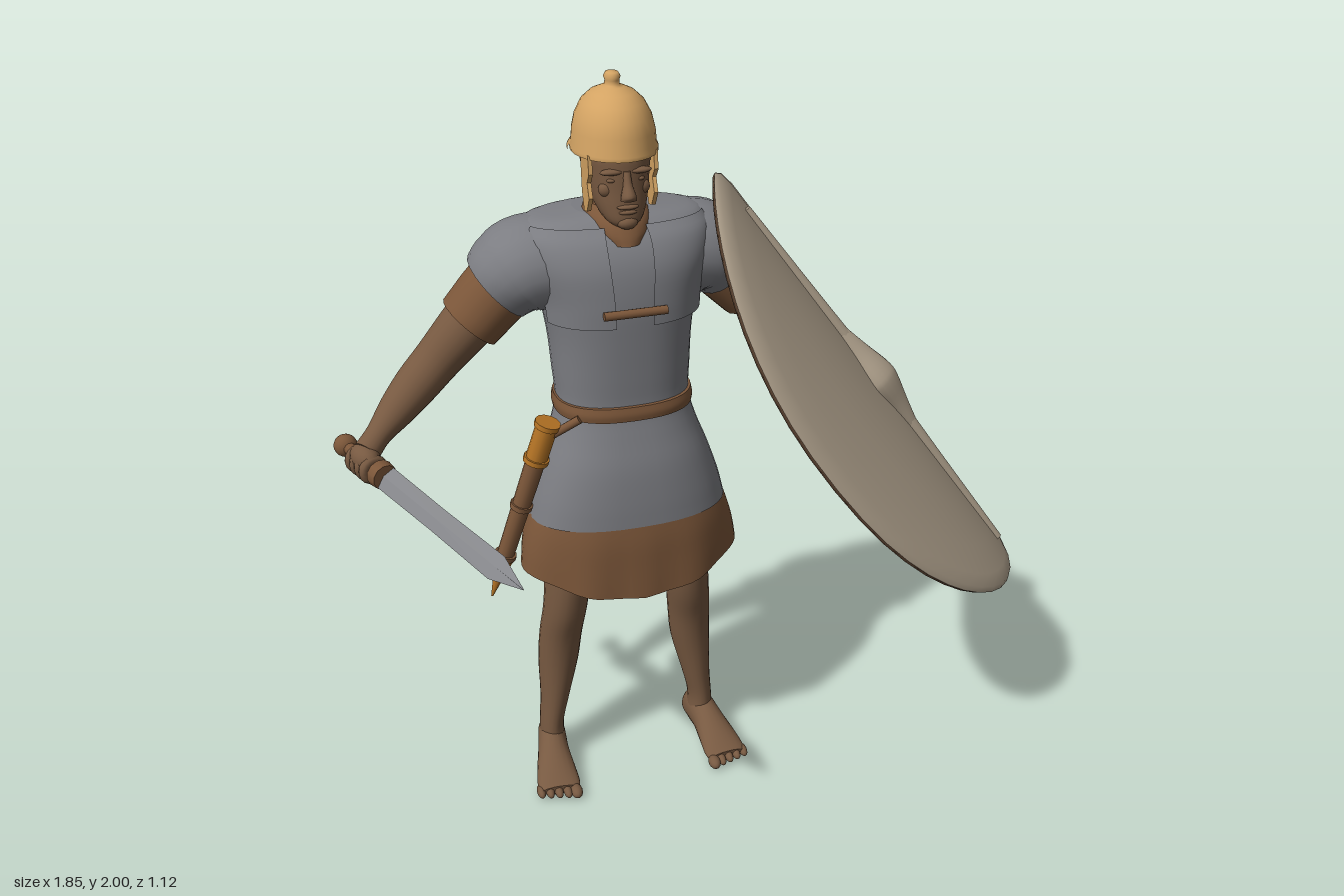
import * as THREE from 'three';

const V = (x, y, z) => new THREE.Vector3(x, y, z);
const material = (name, color, side = THREE.FrontSide) => {
  const m = new THREE.MeshStandardMaterial({ color, side });
  m.name = name;
  return m;
};

// Surface through rows of points; each row runs counter-clockwise round the row direction
function skin(rows, closed = true) {
  const n = rows[0].length, pos = [], idx = [];
  rows.forEach(r => r.forEach(p => pos.push(p.x, p.y, p.z)));
  for (let j = 0; j < rows.length - 1; j++) {
    for (let i = 0; i < (closed ? n : n - 1); i++) {
      const k = (i + 1) % n, a = j * n + i, b = j * n + k;
      idx.push(a, b, b + n, a, b + n, a + n);
    }
  }
  const g = new THREE.BufferGeometry();
  g.setAttribute('position', new THREE.Float32BufferAttribute(pos, 3));
  g.setIndex(idx);
  g.computeVertexNormals();
  return g;
}

// Smooth loft through rings [x, y, z, rx, rz]
function loft(rings, { n = 24, p = 2, flat = true, ref = V(0, 0, 1), cap = true, from = 0, to = Math.PI * 2, fine = 4 } = {}) {
  const centre = new THREE.CatmullRomCurve3(rings.map(r => V(r[0], r[1], r[2])), false, 'catmullrom');
  const radius = new THREE.CatmullRomCurve3(rings.map(r => V(r[3], r[4] ?? r[3], 0)), false, 'catmullrom');
  const closed = to - from > 6.28, count = (rings.length - 1) * fine, rows = [];
  const pw = s => Math.sign(s) * Math.abs(s) ** (2 / p);
  for (let j = 0; j <= count; j++) {
    const c = centre.getPoint(j / count), r = radius.getPoint(j / count);
    const T = flat ? V(0, 1, 0) : centre.getTangent(j / count);
    const u = T.clone().cross(ref).normalize(), v = u.clone().cross(T);
    const row = [];
    for (let i = 0; i < (closed ? n : n + 1); i++) {
      const t = from + (to - from) * i / n;
      row.push(c.clone().addScaledVector(u, r.x * pw(Math.sin(t))).addScaledVector(v, r.y * pw(Math.cos(t))));
    }
    rows.push(row);
    if (cap && closed && (j === 0 || j === count)) {
      const tip = row.map(() => c.clone());
      if (j === 0) rows.unshift(tip, row); else rows.push(row, tip);
    }
  }
  return skin(rows, closed);
}

export function createModel() {
  const model = new THREE.Group();
  model.name = 'shieldedSoldier';
  const skinTone = material('skin', 0x775941);
  const iron = material('ironGrey', 0x7c7d82, THREE.DoubleSide);
  const steel = material('bladeSteel', 0x85868a);
  const leather = material('leather', 0x7b5639, THREE.DoubleSide);
  const bronze = material('helmetBronze', 0xd3a363, THREE.DoubleSide);
  const hide = material('shieldFace', 0xaa9c88);
  const wood = material('shieldBack', 0x6c503b);
  const amber = material('scabbardFittings', 0xb57425);

  const add = (name, geo, mat, parent = model) => {
    const m = new THREE.Mesh(geo, mat);
    m.name = name;
    parent.add(m);
    return m;
  };
  const ball = (name, mat, x, y, z, rx, ry, rz, parent = model) => {
    const m = add(name, new THREE.SphereGeometry(1, 16, 12), mat, parent);
    m.position.set(x, y, z);
    m.scale.set(rx, ry, rz);
  };
  const bar = (name, mat, a, b, r0, r1 = r0, n = 12) => {
    const d = b.clone().sub(a);
    const m = add(name, new THREE.CylinderGeometry(r1, r0, d.length(), n), mat);
    m.position.copy(a).addScaledVector(d, 0.5);
    m.quaternion.setFromUnitVectors(V(0, 1, 0), d.normalize());
  };
  const X = -0.19; // body centre line
  const col = list => list.map(([y, z, rx, rz]) => [X, y, z, rx, rz]);
  const mirror = list => list.map(([x, ...r]) => [2 * X - x, ...r]);

  // Tunic of mail
  add('mailTunic', loft(col([
    [0.86, -0.13, 0.267, 0.172], [0.93, -0.13, 0.25, 0.168], [1.02, -0.13, 0.22, 0.157], [1.1, -0.135, 0.19, 0.142],
    [1.17, -0.14, 0.174, 0.132], [1.26, -0.145, 0.178, 0.14], [1.36, -0.15, 0.185, 0.15], [1.46, -0.157, 0.203, 0.16],
    [1.55, -0.168, 0.23, 0.16], [1.61, -0.178, 0.237, 0.142], [1.65, -0.183, 0.215, 0.105], [1.665, -0.185, 0.1, 0.08]]),
    { n: 40, p: 2.4 }), iron);
  // Shoulder doubling: two chest flaps joined by a clasp
  const flap = col([[1.41, -0.152, 0.206, 0.168], [1.47, -0.156, 0.213, 0.171], [1.55, -0.165, 0.237, 0.171], [1.61, -0.175, 0.244, 0.153], [1.645, -0.18, 0.228, 0.12]]);
  add('leftChestFlap', loft(flap, { from: 0.17, to: 1.25, p: 2.4 }), iron);
  add('rightChestFlap', loft(flap, { from: -1.25, to: -0.17, p: 2.4 }), iron);
  bar('chestClasp', leather, V(X - 0.08, 1.45, 0.02), V(X + 0.08, 1.45, 0.02), 0.011);
  add('neckScarf', loft(col([[1.605, -0.12, 0.055, 0.1], [1.63, -0.13, 0.077, 0.1], [1.66, -0.15, 0.082, 0.1], [1.685, -0.17, 0.07, 0.08]])), leather);
  // Belt
  add('belt', loft(col([[1.15, -0.14, 0.181, 0.144], [1.168, -0.14, 0.183, 0.146], [1.188, -0.14, 0.179, 0.142]]), { n: 40, p: 2.4 }), leather);

  // Skirt with a dipping, rippled hem
  const skirt = loft(col([[0.66, -0.13, 0.295, 0.182], [0.74, -0.13, 0.288, 0.18], [0.82, -0.13, 0.274, 0.177], [0.9, -0.13, 0.253, 0.165]]),
    { n: 64, p: 2.3, cap: false });
  const sp = skirt.attributes.position;
  for (let i = 0; i < sp.count; i++) {
    const dx = sp.getX(i) - X, dz = sp.getZ(i) + 0.13, k = (0.9 - sp.getY(i)) / 0.24;
    const f = 1 + 0.025 * k * Math.cos(9 * Math.atan2(dx, dz));
    sp.setXYZ(i, X + dx * f, sp.getY(i) - 0.01 * k + k * 0.75 * dx * dx, -0.13 + dz * f);
  }
  skirt.computeVertexNormals();
  add('skirt', skirt, leather);

  // Legs and bare feet
  const leg = [[-0.415, 0.06, -0.188, 0.037, 0.05], [-0.415, 0.13, -0.188, 0.034, 0.05], [-0.402, 0.22, -0.186, 0.041, 0.054],
    [-0.387, 0.34, -0.186, 0.056, 0.064], [-0.378, 0.44, -0.172, 0.059, 0.068], [-0.367, 0.54, -0.146, 0.06, 0.075],
    [-0.355, 0.65, -0.138, 0.064, 0.088], [-0.325, 0.78, -0.135, 0.09, 0.1], [-0.3, 0.9, -0.135, 0.1, 0.11]];
  const foot = [[-0.412, 0.033, -0.252, 0.018, 0.02], [-0.412, 0.045, -0.238, 0.035, 0.04], [-0.416, 0.063, -0.195, 0.04, 0.06],
    [-0.425, 0.055, -0.14, 0.044, 0.05], [-0.433, 0.039, -0.075, 0.054, 0.035], [-0.438, 0.026, -0.02, 0.06, 0.022], [-0.44, 0.022, 0.005, 0.054, 0.016]];
  for (const side of ['right', 'left']) {
    const s = side === 'right' ? l => l : mirror, g = side === 'right' ? 1 : -1;
    add(side + 'Leg', loft(s(leg), { n: 20 }), skinTone);
    add(side + 'Foot', loft(s(foot), { flat: false, ref: V(0, 1, 0), n: 20 }), skinTone);
    for (let i = 0; i < 5; i++) {
      ball(side + 'Toe', skinTone, X - g * (0.206 + i * 0.024), 0.018, 0.018 - i * 0.007, i ? 0.012 : 0.017, i ? 0.014 : 0.017, 0.027);
    }
  }

  // Shoulders, sleeves and arms
  const cap = [[-0.24, 1.53, -0.175, 0.115, 0.125], [-0.33, 1.535, -0.185, 0.118, 0.135], [-0.41, 1.53, -0.192, 0.12, 0.138], [-0.45, 1.51, -0.198, 0.113, 0.13], [-0.487, 1.475, -0.205, 0.1, 0.11]];
  const sleeve = [[-0.45, 1.5, -0.2, 0.086, 0.09], [-0.49, 1.46, -0.207, 0.09, 0.094], [-0.56, 1.385, -0.212, 0.084, 0.09]];
  const upper = [[-0.5, 1.45, -0.21, 0.075], [-0.58, 1.365, -0.212, 0.068], [-0.65, 1.29, -0.215, 0.06]];
  const rightArm = [...upper, [-0.71, 1.235, -0.2, 0.056], [-0.77, 1.185, -0.17, 0.046], [-0.82, 1.145, -0.137, 0.033], [-0.855, 1.115, -0.11, 0.034]];
  const leftArm = [...mirror(upper), [0.315, 1.225, -0.19, 0.056], [0.365, 1.16, -0.15, 0.046], [0.4, 1.11, -0.127, 0.033], [0.428, 1.072, -0.108, 0.034]];
  const limb = { flat: false, n: 20 };
  add('rightShoulder', loft(cap, limb), iron);
  add('leftShoulder', loft(mirror(cap), limb), iron);
  add('rightSleeve', loft(sleeve, limb), leather);
  add('leftSleeve', loft(mirror(sleeve), limb), leather);
  add('rightArm', loft(rightArm, limb), skinTone);
  add('leftArm', loft(leftArm, limb), skinTone);

  // Fist: palm and four fingers curled round an axis
  function fist(name, at, axis) {
    const g = new THREE.Group();
    g.name = name;
    g.position.copy(at);
    g.quaternion.setFromUnitVectors(V(0, 0, 1), axis);
    ball('palm', skinTone, 0, 0.012, 0, 0.034, 0.036, 0.05, g);
    for (let i = 0; i < 4; i++) {
      add('finger', new THREE.TorusGeometry(0.026, 0.013, 8, 16), skinTone, g).position.set(0, -0.006, -0.036 + i * 0.024);
    }
    model.add(g);
  }

  // Short sword
  const pommel = V(-0.9, 1.095, -0.2), tip = V(-0.605, 1.062, 0.553), dir = tip.clone().sub(pommel).normalize();
  const along = d => pommel.clone().addScaledVector(dir, d);
  ball('pommel', leather, pommel.x, pommel.y, pommel.z, 0.03, 0.03, 0.027);
  bar('swordGrip', leather, pommel, along(0.2), 0.016);
  bar('swordGuard', leather, along(0.175), along(0.205), 0.036, 0.033);
  fist('rightHand', along(0.105), dir);
  const blade = add('blade', loft([[0, 0.2, 0, 0.031, 0.009], [0, 0.45, 0, 0.029, 0.009], [0, 0.7, 0, 0.031, 0.008], [0, 0.81, 0, 0.001, 0.001]], { n: 4, fine: 1 }).toNonIndexed(), steel);
  blade.geometry.computeVertexNormals();
  blade.position.copy(pommel);
  blade.quaternion.setFromUnitVectors(V(0, 1, 0), dir).multiply(new THREE.Quaternion().setFromAxisAngle(V(0, 1, 0), 1.1));

  // Scabbard on the right hip
  const s0 = V(-0.405, 1.15, -0.06), s1 = V(-0.567, 0.61, -0.145), on = t => s0.clone().lerp(s1, t);
  bar('scabbardBody', leather, on(0.05), on(0.78), 0.027, 0.023);
  bar('scabbardThroat', amber, on(0), on(0.2), 0.029, 0.029);
  for (const t of [0, 0.19]) bar('scabbardBand', amber, on(t), on(t + 0.025), 0.034);
  for (const t of [0.45, 0.74]) bar('scabbardBand', leather, on(t), on(t + 0.025), 0.03);
  bar('scabbardTip', amber, on(0.77), on(1), 0.026, 0.003);
  bar('scabbardStrap', leather, V(-0.33, 1.16, -0.03), on(0.1), 0.011);

  // Head
  add('neck', loft(col([[1.6, -0.185, 0.078, 0.078], [1.68, -0.185, 0.068, 0.072], [1.78, -0.182, 0.068, 0.07]])), skinTone);
  add('head', loft(col([[1.645, -0.07, 0.022, 0.03], [1.665, -0.082, 0.046, 0.056], [1.7, -0.11, 0.064, 0.084], [1.74, -0.135, 0.075, 0.106],
    [1.78, -0.142, 0.08, 0.112], [1.82, -0.146, 0.084, 0.113], [1.87, -0.148, 0.07, 0.1]]), { p: 2.2 }), skinTone);
  add('nose', loft(col([[1.722, -0.022, 0.02, 0.016], [1.735, -0.02, 0.018, 0.024], [1.76, -0.027, 0.011, 0.015], [1.79, -0.035, 0.009, 0.01]]), { n: 12 }), skinTone);
  ball('upperLip', skinTone, X, 1.703, -0.032, 0.027, 0.007, 0.013);
  ball('lowerLip', skinTone, X, 1.69, -0.033, 0.024, 0.007, 0.012);
  ball('chin', skinTone, X, 1.663, -0.04, 0.026, 0.018, 0.022);
  for (const s of [-1, 1]) {
    ball('brow', skinTone, X + s * 0.034, 1.788, -0.042, 0.03, 0.008, 0.014);
    ball('eye', skinTone, X + s * 0.034, 1.767, -0.046, 0.013, 0.006, 0.01);
    ball('cheekbone', skinTone, X + s * 0.042, 1.742, -0.062, 0.022, 0.02, 0.018);
  }

  // Helmet with knob, neck guard and cheek pieces
  const profile = [[1.03, 1.815], [1.04, 1.825], [1, 1.835], [0.98, 1.865], [0.9, 1.9], [0.74, 1.932], [0.52, 1.953], [0.27, 1.965],
    [0.18, 1.968], [0.17, 1.98], [0.2, 1.988], [0.15, 1.998], [0, 2]].map(([r, y]) => new THREE.Vector2(r, y));
  const bowl = add('helmetBowl', new THREE.LatheGeometry(profile, 32), bronze);
  bowl.position.set(X, 0, -0.148);
  bowl.scale.set(0.102, 1, 0.128);
  add('neckGuard', loft([[X, 1.806, -0.16, 0.106, 0.158], [X, 1.815, -0.158, 0.108, 0.158], [X, 1.84, -0.15, 0.1, 0.125]],
    { from: Math.PI * 0.55, to: Math.PI * 1.45, cap: false }), bronze);
  const cheek = new THREE.Shape([[0.065, 1.825], [0.06, 1.78], [0.08, 1.755], [0.065, 1.72], [0.09, 1.682], [0.118, 1.675], [0.135, 1.72], [0.14, 1.825]]
    .map(([z, y]) => new THREE.Vector2(z, y)));
  for (const s of [-1, 1]) {
    const c = add('cheekPiece', new THREE.ExtrudeGeometry(cheek, { depth: 0.01, bevelEnabled: false }), bronze);
    c.rotation.y = Math.PI / 2;
    c.position.x = X + s * 0.081 - 0.005;
  }

  // Oval shield, bent about its long axis: local x across, y down its length, z outward
  const shield = new THREE.Group();
  shield.name = 'shield';
  const L = V(0.572, -0.802, 0.172).normalize(), W = V(-0.31, -0.02, 0.95);
  W.addScaledVector(L, -W.dot(L)).normalize();
  const N = W.clone().cross(L), C = V(0.508, 1.13, -0.083);
  new THREE.Matrix4().makeBasis(W, L, N).decompose(V(), shield.quaternion, V());
  shield.position.copy(C);
  const ring = (r, drop) => Array.from({ length: 48 }, (_, i) => {
    const t = i / 48 * Math.PI * 2, q = s => Math.sign(s) * Math.abs(s) ** 0.9;
    const x = 0.437 * r * q(Math.cos(t)), y = 0.712 * r * q(Math.sin(t));
    return V(x, y, -0.77 * x * x - drop);
  });
  const steps = [0, 0.2, 0.4, 0.6, 0.8, 0.93];
  add('shieldFace', skin([ring(1, 0.018), ring(0.985, 0.006), ...steps.map(r => ring(r, 0)).reverse()]), hide, shield);
  add('shieldBack', skin([...steps.map(r => ring(r, 0.03)), ring(0.99, 0.03), ring(1, 0.018)]), wood, shield);
  add('shieldSpine', loft([[0, -0.6, 0, 0.011, 0.012], [0, -0.3, 0, 0.016, 0.018], [0, 0, 0, 0.022, 0.024], [0, 0.3, 0, 0.016, 0.018], [0, 0.63, 0, 0.011, 0.012]], { n: 12 }), hide, shield);
  add('shieldBoss', loft([[0, -0.2, 0, 0.012, 0.014], [0, -0.1, 0, 0.034, 0.036], [0, -0.02, 0, 0.06, 0.055], [0, 0.02, 0, 0.06, 0.055], [0, 0.1, 0, 0.034, 0.036], [0, 0.2, 0, 0.012, 0.014]], { n: 20, p: 1.7 }), hide, shield);
  model.add(shield);
  // Handle behind the boss, held by the left hand
  const grip = C.clone().addScaledVector(N, -0.1);
  bar('shieldGrip', leather, grip.clone().addScaledVector(W, -0.12), grip.clone().addScaledVector(W, 0.12), 0.016);
  fist('leftHand', grip, W);
  return model;
}
